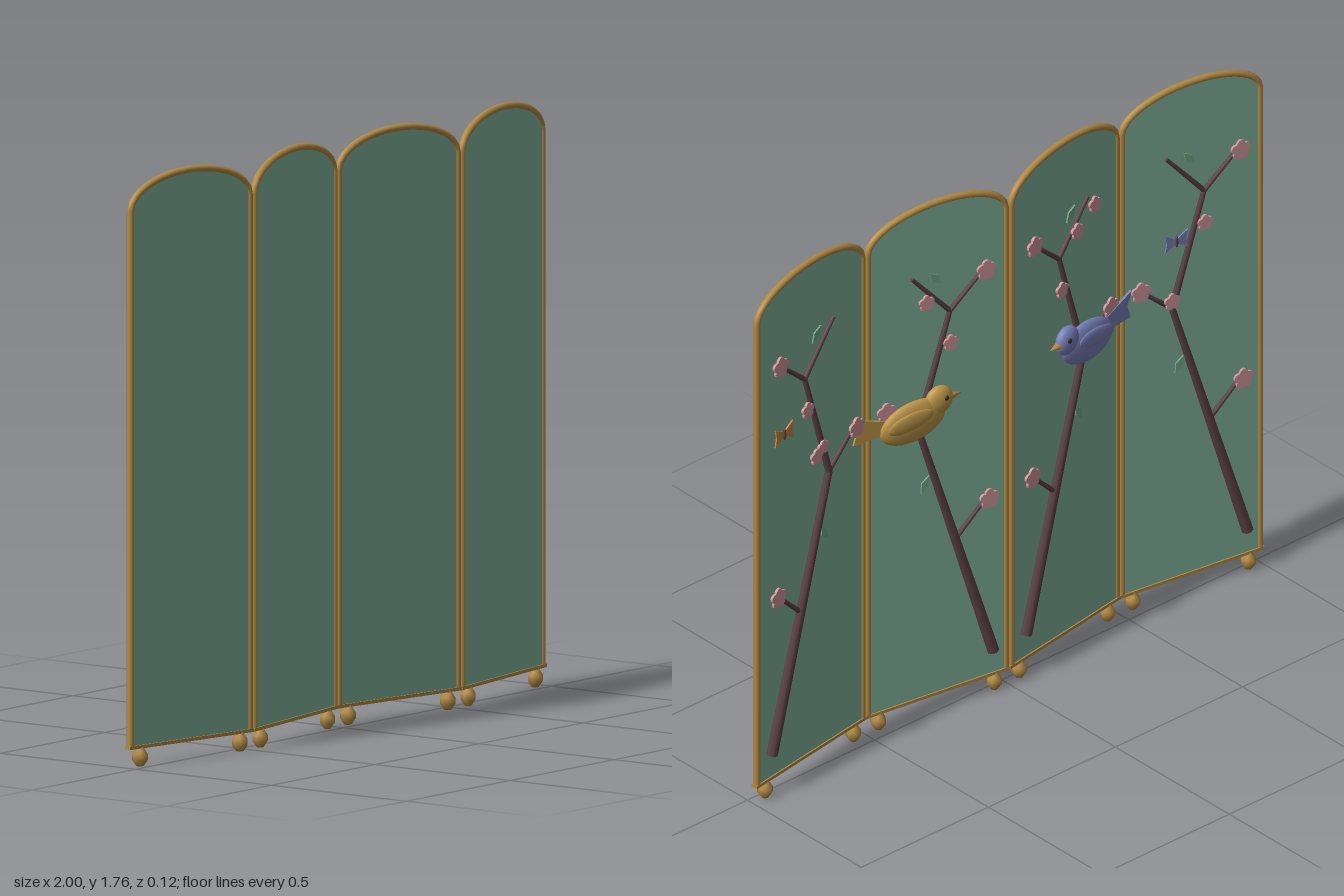
import * as THREE from 'three';

const mat = (name, color, side = THREE.FrontSide) => {
  const m = new THREE.MeshStandardMaterial({ color, side });
  m.name = name;
  return m;
};
const M = {
  cloth: mat('sage cloth', 0x82b39b),
  gold: mat('gilded wood', 0xb28a44),
  bark: mat('dark bark', 0x5a3f44),
  pink: mat('blossom pink', 0xcf959b),
  leaf: mat('leaf green', 0x74a88a),
  ochre: mat('ochre feathers', 0xbd9648),
  blue: mat('blue feathers', 0x7880b8),
  orange: mat('orange wings', 0xc8873f),
  black: mat('black', 0x222222),
};

const W = 0.2418, BASE = 0.06, SPRING = 1.65, RISE = 0.1, TUBE = 0.011;
const FOLD = Math.atan(0.15);

function add(parent, name, geo, material, x = 0, y = 0, z = 0) {
  const mesh = new THREE.Mesh(geo, material);
  mesh.name = name;
  mesh.position.set(x, y, z);
  parent.add(mesh);
  return mesh;
}

// Tapered rod between two points
function rod(parent, name, a, b, r0, r1, material) {
  const dir = b.clone().sub(a), len = dir.length();
  const mesh = add(parent, name, new THREE.CylinderGeometry(r1, r0, len, 8), material);
  mesh.position.copy(a).addScaledVector(dir, 0.5);
  mesh.quaternion.setFromUnitVectors(new THREE.Vector3(0, 1, 0), dir.normalize());
}

// Thin plate from a list of corners
function plate(points, depth = 0.005) {
  const shape = new THREE.Shape(points.map(([x, y]) => new THREE.Vector2(x, y)));
  return new THREE.ExtrudeGeometry(shape, { depth, bevelEnabled: false });
}

// Five-lobed flower outline
function blossomGeometry(r) {
  const pts = [];
  for (let i = 0; i < 30; i++) {
    const a = (i / 30) * Math.PI * 2;
    const rad = r * (0.74 + 0.26 * Math.abs(Math.cos(2.5 * a)));
    pts.push([Math.sin(a) * rad, Math.cos(a) * rad]);
  }
  return plate(pts, 0.008);
}

function ellipsoid(rx, ry, rz) {
  return new THREE.SphereGeometry(1, 20, 14).scale(rx, ry, rz);
}

// Arched cloth, rounded frame and feet
function addPanel(g) {
  const shape = new THREE.Shape();
  shape.moveTo(-W, BASE);
  shape.lineTo(W, BASE);
  shape.lineTo(W, SPRING);
  shape.absellipse(0, SPRING, W, RISE, 0, Math.PI, false);
  shape.lineTo(-W, BASE);
  const cloth = new THREE.ExtrudeGeometry(shape, { depth: 0.012, bevelEnabled: false, curveSegments: 28 });
  add(g, 'clothPanel', cloth, M.cloth, 0, 0, -0.006);

  const arch = [];
  for (let i = 0; i <= 24; i++) {
    const a = Math.PI * (1 - i / 24);
    arch.push(new THREE.Vector3(W * Math.cos(a), SPRING + RISE * Math.sin(a), 0));
  }
  const path = new THREE.CurvePath();
  path.add(new THREE.LineCurve3(new THREE.Vector3(-W, BASE, 0), arch[0]));
  path.add(new THREE.CatmullRomCurve3(arch));
  path.add(new THREE.LineCurve3(arch[24], new THREE.Vector3(W, BASE, 0)));
  add(g, 'archedFrame', new THREE.TubeGeometry(path, 160, TUBE, 10), M.gold);
  add(g, 'bottomRail', new THREE.BoxGeometry(W * 2 + TUBE * 2, 0.01, 0.021), M.gold, 0, BASE, 0);

  const profile = [[0, 0], [0.011, 0.002], [0.023, 0.02], [0.023, 0.038], [0.013, 0.053], [0.011, 0.06]];
  const foot = new THREE.LatheGeometry(profile.map(([x, y]) => new THREE.Vector2(x, y)), 8);
  for (const s of [-1, 1]) add(g, 'foot', foot, M.gold, s * 0.203, 0, 0);
}

// Blossoming branch on the back; u runs across the panel, m mirrors it
function addBranch(g, m, extraBlossoms) {
  const X = u => m * (0.5 - u) * 0.5;
  const P = ([u, v]) => new THREE.Vector3(X(u), v, -0.014);
  const base = [0.12, 0.146], mid = [0.648, 1.0], fork = [0.424, 1.37];
  const trunkAt = [0.388, 0.575];
  const limbs = [
    [base, mid, 0.019, 0.011],
    [mid, fork, 0.011, 0.008],
    [fork, [0.69, 1.522], 0.008, 0.006],
    [fork, [0.19, 1.472], 0.008, 0.006],
    [trunkAt, [0.17, 0.68], 0.008, 0.006],
    [mid, [0.875, 1.097], 0.008, 0.006],
  ];
  for (const [a, b, r0, r1] of limbs) rod(g, 'branch', P(a), P(b), r0, r1, M.bark);
  add(g, 'branchKnot', new THREE.SphereGeometry(0.011, 8, 6), M.bark, X(mid[0]), mid[1], -0.014);

  const flowers = [[0.18, 1.474, 0.034], [0.16, 0.681, 0.034], [0.88, 1.098, 0.034], [0.43, 1.265, 0.027], ...extraBlossoms];
  for (const [u, v, r] of flowers) add(g, 'blossom', blossomGeometry(r), M.pink, X(u), v, -0.028);

  const leaf = plate([[0, -0.03], [0.014, 0], [0, 0.03], [-0.014, 0]]);
  for (const [u, v, turn] of [[0.53, 1.5, 0.7], [0.6, 0.8, -0.5]])
    add(g, 'leaf', leaf, M.leaf, X(u), v, -0.018).rotation.z = m * turn;
}

// Bow-shaped butterfly
function addButterfly(g, x, y, material) {
  for (const s of [-1, 1]) {
    const pts = [[0, -0.006], [s * 0.04, -0.03], [s * 0.034, 0], [s * 0.04, 0.03], [0, 0.006]];
    add(g, 'butterflyWing', plate(pts), material, x, y, -0.018);
  }
  add(g, 'butterflyBody', ellipsoid(0.005, 0.02, 0.005), M.bark, x, y, -0.018);
}

// Perched bird; d is the direction it faces along x
function addBird(g, x, d, feathers) {
  const bird = new THREE.Group();
  bird.name = 'bird';
  bird.position.set(x, 1.045, -0.034);
  g.add(bird);
  add(bird, 'birdBody', ellipsoid(0.115, 0.068, 0.025), feathers).rotation.z = d * 0.1;
  add(bird, 'birdHead', ellipsoid(0.047, 0.047, 0.024), feathers, d * 0.092, 0.045, 0);
  add(bird, 'birdWing', ellipsoid(0.08, 0.03, 0.008), feathers, -d * 0.02, 0.015, -0.021).rotation.z = d * 0.12;
  const beak = add(bird, 'birdBeak', new THREE.ConeGeometry(0.014, 0.045, 8), M.gold, d * 0.15, 0.045, 0);
  beak.rotation.z = -d * Math.PI / 2;
  add(bird, 'birdEye', new THREE.SphereGeometry(0.008, 8, 6), M.black, d * 0.105, 0.057, -0.02);
  const tail = plate([[-d * 0.08, -0.015], [-d * 0.205, -0.018], [-d * 0.19, 0.025], [-d * 0.21, 0.07], [-d * 0.08, 0.025]], 0.008);
  add(bird, 'birdTail', tail, feathers, 0, 0, 0.004);
}

export function createModel() {
  const model = new THREE.Group();
  model.name = 'foldingScreen';
  const panels = [];
  for (let i = 0; i < 4; i++) {
    const g = new THREE.Group();
    g.name = 'panel' + (i + 1);
    g.position.set(-0.75 + 0.5 * i, 0, 0.008);
    g.rotation.y = i % 2 ? FOLD : -FOLD;
    addPanel(g);
    model.add(g);
    panels.push(g);
  }
  const extras = [
    [[0.66, 1.03, 0.028]],
    [[0.57, 1.435, 0.027], [0.73, 1.49, 0.027]],
    [[0.6, 1.43, 0.027]],
    [[0.51, 1.085, 0.027], [0.57, 1.105, 0.024]],
  ];
  panels.forEach((g, i) => addBranch(g, i % 2 ? 1 : -1, extras[i]));
  addBird(panels[2], 0.105, -1, M.ochre);
  addBird(panels[1], -0.068, 1, M.blue);
  addButterfly(panels[3], 0.135, 1.228, M.orange);
  addButterfly(panels[0], 0.06, 1.228, M.blue);
  return model;
}
